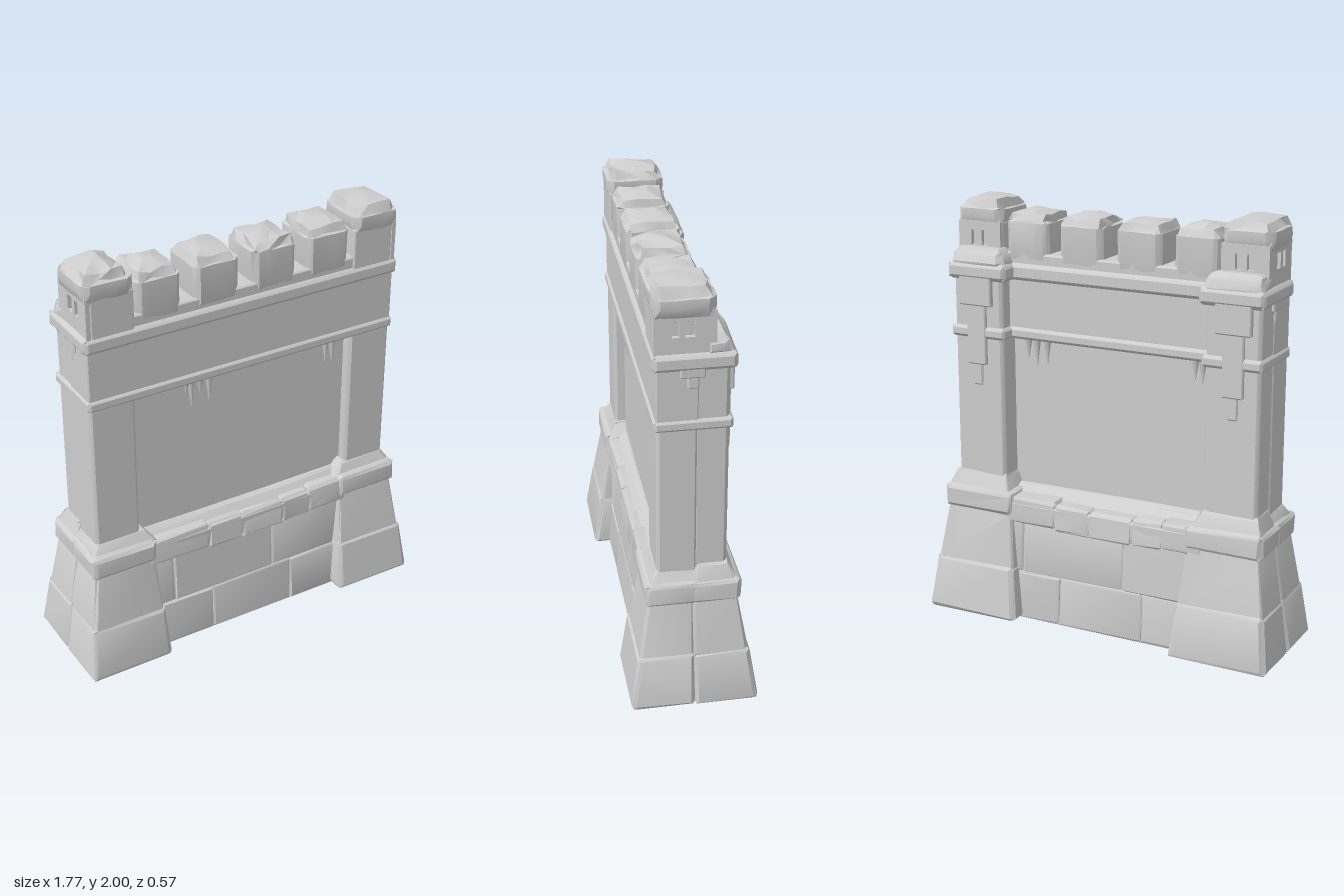
import * as THREE from 'three';
import { toCreasedNormals } from 'three/addons/utils/BufferGeometryUtils.js';

const stone = new THREE.MeshStandardMaterial({ color: 0xcecece });
stone.name = 'pale grey stone';

// Repeatable noise in -1..1 from a position
const noise = (x, y, z, k) => {
  const s = Math.sin(x * 127.1 + y * 311.7 + z * 74.7 + k * 53.3) * 43758.5453;
  return (s - Math.floor(s)) * 2 - 1;
};

export function createModel() {
  const model = new THREE.Group();
  model.name = 'castleWall';

  const add = (name, geometry, parent = model) => {
    const mesh = new THREE.Mesh(geometry, stone);
    mesh.name = name;
    parent.add(mesh);
    return mesh;
  };

  // Worn block: chamfered box (b sideways, by upwards); inset = [x0, x1, z0, z1] pulls the top
  // sides in, rough jitters it, dome lowers the rim of the top
  function block(name, xr, yr, zr, { b = 0.012, by = b, inset = [0, 0, 0, 0], rough = 0, seg = 3, dome = 0 } = {}, parent = model) {
    const g = new THREE.BoxGeometry(2, 2, 2, seg, 3, seg);
    const p = g.attributes.position;
    const half = [xr, yr, zr].map(r => (r[1] - r[0]) / 2);
    const mid = [xr, yr, zr].map(r => (r[1] + r[0]) / 2);
    const segs = [seg, 3, seg], bevel = [b, by, b];
    for (let i = 0; i < p.count; i++) {
      const u = [p.getX(i), p.getY(i), p.getZ(i)];
      const onEdge = u.filter(v => Math.abs(v) > 0.999).length > 1;
      const q = u.map((v, a) => {
        const m = Math.abs(v), inner = 1 - 2 / segs[a];
        const d = m > 0.999 ? half[a] - (onEdge ? bevel[a] * 0.4 : 0) : m / inner * (half[a] - bevel[a]);
        return Math.sign(v) * d;
      });
      const t = (q[1] / half[1] + 1) / 2, fx = (q[0] / half[0] + 1) / 2, fz = (q[2] / half[2] + 1) / 2;
      q[0] += t * (inset[0] * (1 - fx) - inset[1] * fx);
      q[2] += t * (inset[2] * (1 - fz) - inset[3] * fz);
      if (u[1] > 0.999) q[1] -= dome * Math.max(Math.abs(2 * fx - 1), Math.abs(2 * fz - 1)) ** 1.3;
      const w = q.map((v, a) => v + mid[a]);
      // domed blocks are rough on top and calmer on the sides
      const amp = dome && u[1] < 0.999 ? rough * 0.2 : rough;
      const n = [0, 1, 2].map(k => amp * noise(...w.map(v => Math.round(v * 1000) / 1000), k));
      if (u[1] < -0.999) n[1] = 0;
      p.setXYZ(i, w[0] + n[0], w[1] + n[1] - (u[1] > 0 ? amp : 0), w[2] + n[2]);
    }
    return add(name, toCreasedNormals(g, 0.45), parent);
  }

  // Plate with rectangular openings [x, y, w, h]
  function windowPlate(w, h, holes) {
    const rect = (S, x, y, a, c) => {
      const s = new S();
      s.moveTo(x, y); s.lineTo(x + a, y); s.lineTo(x + a, y + c); s.lineTo(x, y + c); s.closePath();
      return s;
    };
    const shape = rect(THREE.Shape, -w / 2, 0, w, h);
    holes.forEach(o => shape.holes.push(rect(THREE.Path, ...o)));
    return new THREE.ExtrudeGeometry(shape, { depth: 0.02, bevelEnabled: false });
  }

  // Towers, mirrored left and right
  for (const s of [1, -1]) {
    const tower = new THREE.Group();
    tower.name = s > 0 ? 'leftTower' : 'rightTower';
    model.add(tower);
    const part = (name, x0, x1, yr, zr, o = {}) => {
      const i = o.inset || [0, 0, 0, 0];
      const inset = s > 0 ? i : [i[1], i[0], i[2], i[3]];
      return block(name, s > 0 ? [x0, x1] : [-x1, -x0], yr, zr, { ...o, inset }, tower);
    };

    // Sloping foot, two courses, split into front and back stones
    part('lowerFootFront', 0.47, 0.884, [0, 0.27], [-0.004, 0.286], { b: 0.022, inset: [0.01, 0.035, 0, 0.04], rough: 0.003 });
    part('lowerFootBack', 0.4, 0.884, [0, 0.27], [-0.288, 0.004], { b: 0.022, inset: [0.03, 0.035, 0.04, 0], rough: 0.003 });
    part('upperFootFront', 0.485, 0.845, [0.24, 0.53], [-0.004, 0.242], { b: 0.014, inset: [0.02, 0.045, 0, 0.045], rough: 0.003 });
    part('upperFootBack', 0.43, 0.845, [0.24, 0.53], [-0.242, 0.004], { b: 0.014, inset: [0.03, 0.045, 0.045, 0], rough: 0.003 });
    // Ledge with a sloping cap
    part('footLedgeFront', 0.495, 0.82, [0.505, 0.625], [-0.02, 0.212], { b: 0.022, rough: 0.003 });
    part('footLedgeBack', 0.445, 0.82, [0.505, 0.625], [-0.21, 0.02], { b: 0.022, rough: 0.003 });
    part('ledgeSlope', 0.48, 0.81, [0.6, 0.675], [-0.05, 0.19], { inset: [0.06, 0.04, 0, 0.035], rough: 0.004 });
    part('ledgeSlopeBack', 0.47, 0.81, [0.6, 0.695], [-0.2, 0.0], { inset: [0.04, 0.035, 0.05, 0.02], rough: 0.004 });

    // Pillar, nearly flush with the beam in front
    part('pillarFront', 0.555, 0.774, [0.6, 1.38], [-0.02, 0.156], { b: 0.014 });
    part('pillarBack', 0.512, 0.77, [0.6, 1.66], [-0.15, 0.0], { b: 0.016 });
    part('lowerBandBack', 0.495, 0.782, [1.345, 1.4], [-0.165, 0.05], { b: 0.014 });
    part('upperBandBack', 0.48, 0.79, [1.62, 1.7], [-0.178, 0.05], { b: 0.02 });
    part('shoulder', 0.488, 0.784, [1.67, 1.768], [-0.18, -0.04], { inset: [0.03, 0.015, 0.035, 0], rough: 0.005, b: 0.03 });

    // Turret with window openings on the outer side and back
    part('turret', 0.55, 0.752, [1.66, 1.88], [-0.07, 0.165], { b: 0.006 });
    const side = add('sideWindows', windowPlate(0.255, 0.2,
      [[s > 0 ? -0.055 : 0.025, 0.09, 0.03, 0.07], [s > 0 ? 0.0 : -0.04, 0.09, 0.04, 0.07]]), tower);
    side.rotation.y = s * Math.PI / 2;
    side.position.set(s * 0.752, 1.68, 0.0375);
    const back = add('backWindow', windowPlate(0.22, 0.2, [[-0.045, 0.09, 0.03, 0.07], [0.01, 0.09, 0.035, 0.07]]), tower);
    back.rotation.y = Math.PI;
    back.position.set(s * 0.66, 1.68, -0.07);
    part('turretCap', 0.542, 0.788, [1.83, 2.008], [-0.093, 0.178],
      { b: 0.035, by: 0.07, inset: [0.008, 0.008, 0.008, 0.008], rough: 0.009, seg: 5, dome: 0.036 });

    // Stepped pendant on the back
    const pendant = [[0.085, 1.5, 1.65, 0.174], [0.05, 1.22, 1.52, 0.167], [0.024, 1.12, 1.23, 0.16]];
    pendant.forEach(([w, y0, y1, z]) => part('backPendant', 0.645 - w, 0.645 + w, [y0, y1], [-z, -0.13], { b: 0.006 }));
    // Small pendant on the outer side
    part('sidePendant', 0.74, 0.784, [1.59, 1.64], [-0.045, 0.06], { b: 0.006 });
    part('sidePendantTip', 0.74, 0.78, [1.54, 1.6], [-0.02, 0.03], { b: 0.006 });
  }

  // Curtain wall panel, and the beam spanning wall and towers
  block('panel', [-0.6, 0.6], [0.5, 1.4], [-0.04, 0.105], { b: 0.003 });
  block('beam', [-0.6, 0.6], [1.36, 1.66], [-0.08, 0.05], { b: 0.004 });
  block('beamFace', [-0.774, 0.774], [1.36, 1.66], [-0.02, 0.158], { b: 0.006 });
  block('lowerBandFront', [-0.782, 0.782], [1.345, 1.4], [-0.02, 0.168], { b: 0.014 });
  block('upperBandFront', [-0.79, 0.79], [1.62, 1.7], [-0.02, 0.174], { b: 0.02 });
  block('beamLowerBand', [-0.6, 0.6], [1.345, 1.4], [-0.095, 0.05], { b: 0.014 });
  block('beamUpperBand', [-0.6, 0.6], [1.62, 1.7], [-0.095, 0.05], { b: 0.018 });
  block('parapet', [-0.6, 0.6], [1.66, 1.75], [-0.077, 0.157], { b: 0.008 });

  // Merlons with rounded, worn tops
  for (const [x0, x1] of [[-0.533, -0.32], [-0.257, -0.036], [0.033, 0.252], [0.31, 0.527]]) {
    block('merlon', [x0, x1], [1.66, 1.955], [-0.078, 0.159], { b: 0.025, by: 0.065, rough: 0.008, seg: 5, dome: 0.032 });
  }

  // Plinth between the towers: cores, then two stone courses and a ledge on each side
  block('plinthCore', [-0.5, 0.5], [0, 0.5], [-0.197, 0.197], { b: 0.002, inset: [0, 0, 0.027, 0.027] });
  block('ledgeCore', [-0.5, 0.5], [0.485, 0.585], [-0.197, 0.197], { b: 0.012 });
  const courses = [
    ['lowerStone', 0, 0.242, 0.205, [-0.52, -0.2, 0.23, 0.52]],
    ['upperStone', 0.228, 0.49, 0.19, [-0.54, -0.4, 0.13, 0.54]],
    ['ledgeStone', 0.465, 0.595, 0.205, [-0.53, -0.22, -0.04, 0.18, 0.33, 0.53]],
  ];
  for (const f of [1, -1]) {
    for (const [name, y0, y1, z, cuts] of courses) {
      for (let i = 0; i + 1 < cuts.length; i++) {
        const x = [cuts[i] - 0.004, cuts[i + 1] + 0.004].map(v => v * f).sort((a, c) => a - c);
        const sag = name === 'ledgeStone' ? 0.02 * Math.abs(x[0] + x[1]) : 0;
        block(name, x, [y0 + sag, y1 + sag], f > 0 ? [0.05, z] : [-z, -0.05],
          { b: 0.014, inset: f > 0 ? [0, 0, 0, 0.012] : [0, 0, 0.012, 0], rough: 0.003 });
      }
    }
  }
  block('plinthSlope', [-0.56, 0.56], [0.56, 0.64], [-0.185, 0.19], { inset: [0, 0, 0.13, 0.07], rough: 0.004, seg: 5 });

  // Icicles under the beam: [x, z, length]
  const icicles = [
    [-0.3, 0.14, 0.05], [-0.275, 0.14, 0.125], [-0.23, 0.14, 0.06], [-0.185, 0.14, 0.12], [0.43, 0.14, 0.1], [0.465, 0.14, 0.11],
    [0.42, -0.068, 0.09], [0.375, -0.068, 0.13], [0.32, -0.068, 0.11], [-0.43, -0.068, 0.09], [-0.465, -0.068, 0.11],
  ];
  for (const [x, z, len] of icicles) {
    const cone = add('icicle', new THREE.ConeGeometry(0.019, len + 0.02, 6));
    cone.rotation.x = Math.PI;
    cone.position.set(x, 1.36 - (len + 0.02) / 2, z);
  }

  return model;
}
